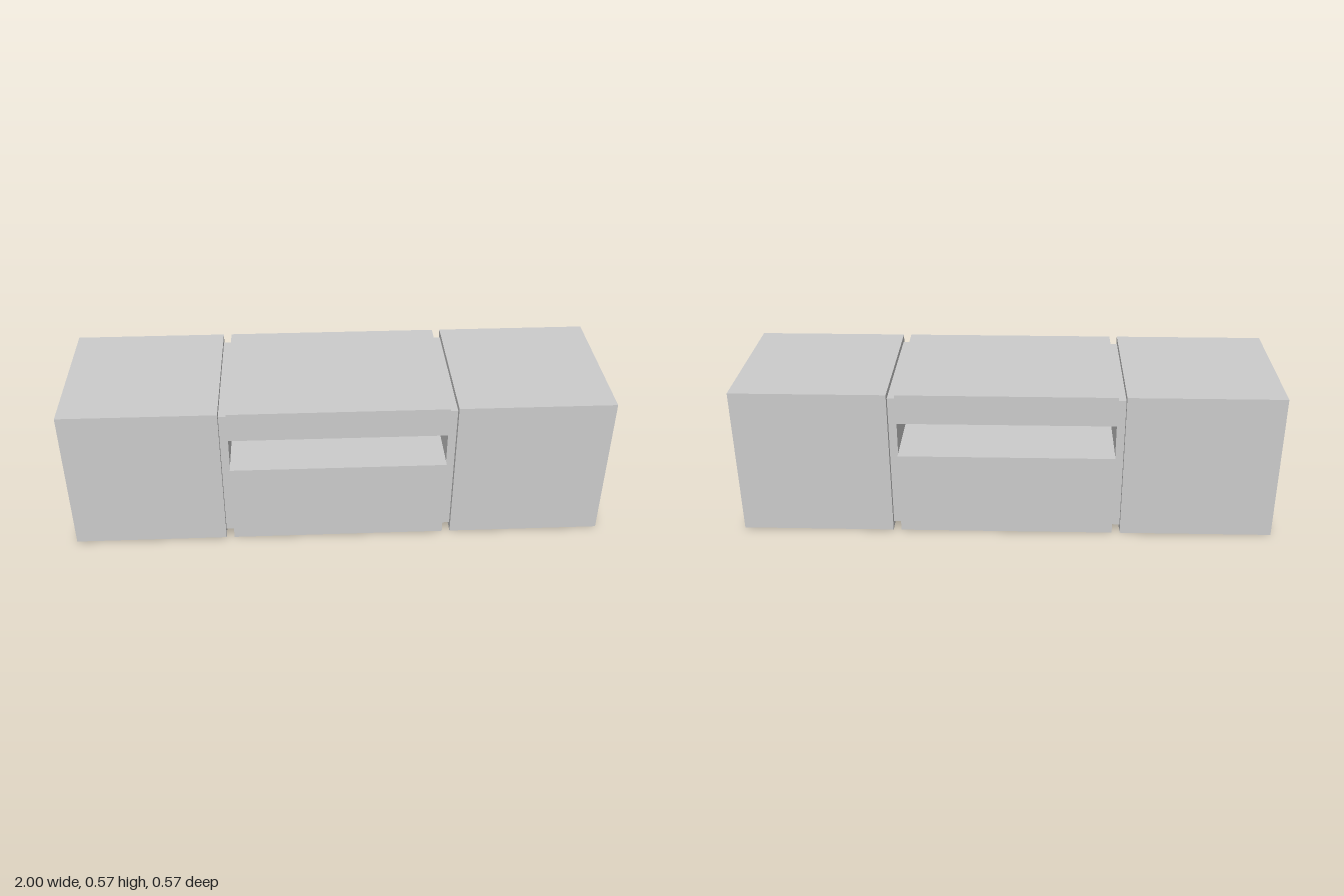
import * as THREE from 'three';

const SIZE = 0.568;   // height and depth of the body
const INSET = 0.023;  // how far the spacers sit back from the faces
const INNER = 0.4;    // half width of the middle section
const OUTER = 0.43;   // where the end blocks begin

export function createModel() {
  const group = new THREE.Group();
  const material = new THREE.MeshStandardMaterial({ color: 0xcccccc, flatShading: true });

  // Box given by its x range, y range and depth
  function addBox(name, x0, x1, y0, y1, depth) {
    const mesh = new THREE.Mesh(new THREE.BoxGeometry(x1 - x0, y1 - y0, depth), material);
    mesh.position.set((x0 + x1) / 2, (y0 + y1) / 2, 0);
    mesh.name = name;
    group.add(mesh);
  }

  // Middle section: base and top slab with an open slot between them
  addBox('middleBase', -INNER, INNER, 0, 0.32, SIZE);
  addBox('middleTop', -INNER, INNER, 0.454, SIZE, SIZE);

  // Recessed spacers and end blocks on both sides
  for (const [side, s] of [['left', 1], ['right', -1]]) {
    const range = (a, b) => (s > 0 ? [a, b] : [-b, -a]);
    addBox(side + 'Spacer', ...range(INNER, OUTER), INSET, SIZE - INSET, SIZE - 2 * INSET);
    addBox(side + 'EndBlock', ...range(OUTER, 1), 0, SIZE, SIZE);
  }

  return group;
}
